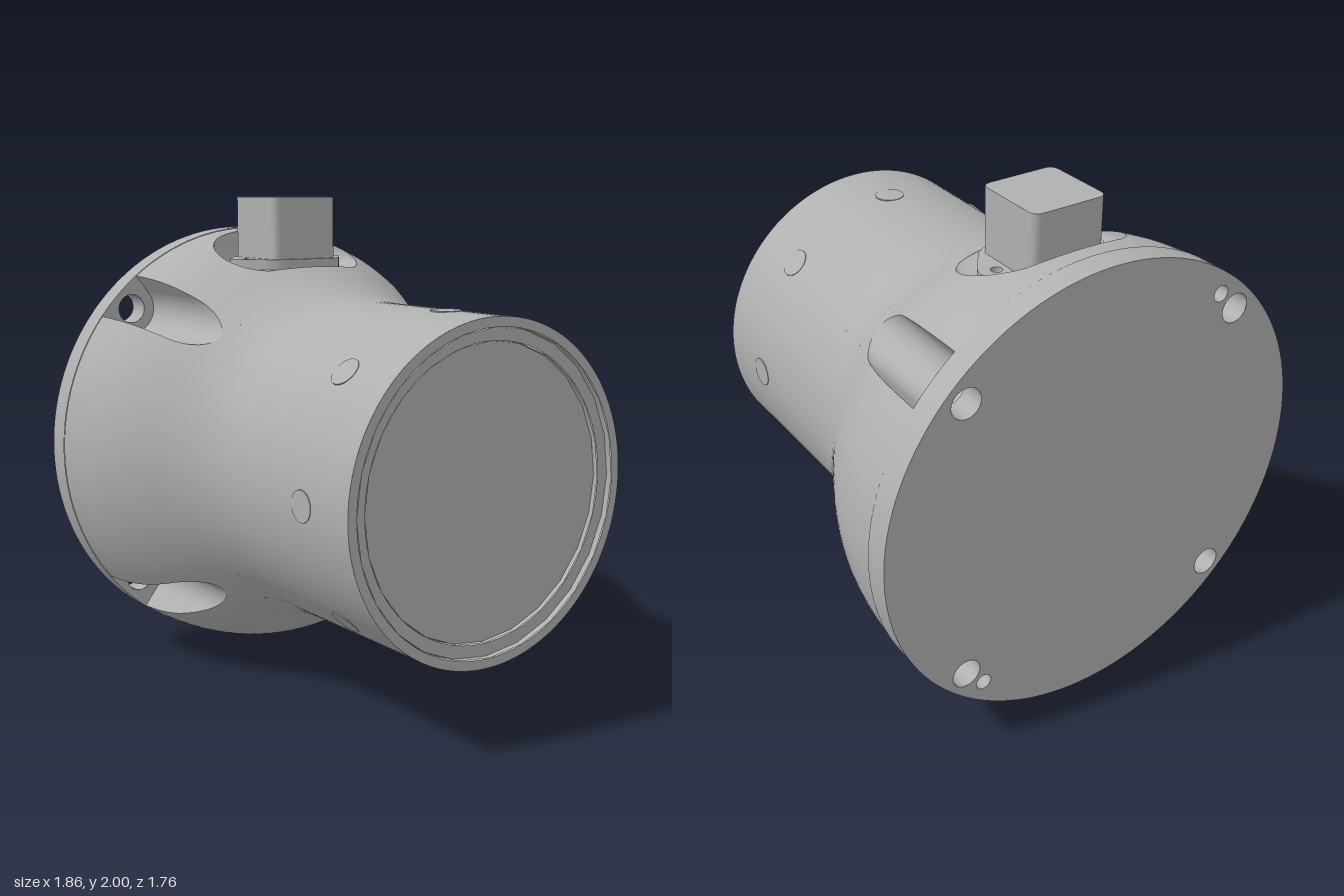
import * as THREE from 'three';

const CY = 0.935;                       // height of the body axis
const FRONT = 0.88, BACK = -0.88, SEAT = -0.775;
const RIM = 0.93, NECK = 0.655;
const BOLT = 0.841, SLOT = 0.105;       // bolt circle radius, slot radius
const PHI = Math.asin(SLOT / BOLT);     // half angle of a slot
const Q = Math.PI / 4;

// Body radius along z, sampled every 0.1 from z = 0.2 to z = -0.9
const RADII = [0.655, 0.657, 0.672, 0.704, 0.751, 0.805, 0.853, 0.889, 0.911, 0.923, 0.929, 0.93];
function bodyRadius(z) {
  const s = (0.2 - z) / 0.1;
  if (s <= 0) return NECK;
  const i = Math.min(Math.floor(s), RADII.length - 2), t = s - i;
  const at = k => RADII[Math.min(Math.max(k, 0), RADII.length - 1)];
  const [a, b, c, d] = [at(i - 1), at(i), at(i + 1), at(i + 2)];
  return b + 0.5 * t * (c - a + t * (2 * a - 5 * b + 4 * c - d + t * (3 * (b - c) + d - a)));
}

// z at which the body reaches radius r
function zAtRadius(r) {
  let lo = SEAT, hi = 0.2;
  for (let i = 0; i < 30; i++) {
    const m = (lo + hi) / 2;
    if (bodyRadius(m) > r) lo = m; else hi = m;
  }
  return lo;
}

// Point at angle a (from +y towards +x), radius r
const polar = (a, r, z) => [r * Math.sin(a), CY + r * Math.cos(a), z];
const lerp = THREE.MathUtils.lerp;

// Grid surface from f(u, v) -> [x, y, z]
function sheet(f, nu, nv) {
  const pos = [], idx = [];
  for (let i = 0; i <= nu; i++) for (let j = 0; j <= nv; j++) pos.push(...f(i / nu, j / nv));
  for (let i = 0; i < nu; i++) for (let j = 0; j < nv; j++) {
    const a = i * (nv + 1) + j, b = a + nv + 1;
    idx.push(a, a + 1, b, b, a + 1, b + 1);
  }
  const g = new THREE.BufferGeometry();
  g.setAttribute('position', new THREE.Float32BufferAttribute(pos, 3));
  g.setIndex(idx);
  g.computeVertexNormals();
  return g;
}

// Polygon with rounded corners
function roundedPoly(pts, r) {
  const s = new THREE.Shape(), n = pts.length;
  const P = pts.map(p => new THREE.Vector2(...p));
  P.forEach((p, i) => {
    const toward = q => p.clone().add(q.clone().sub(p).setLength(r));
    const a = toward(P[(i + n - 1) % n]), b = toward(P[(i + 1) % n]);
    if (i) s.lineTo(a.x, a.y); else s.moveTo(a.x, a.y);
    s.quadraticCurveTo(p.x, p.y, b.x, b.y);
  });
  s.closePath();
  return s;
}

const circleHole = (x, y, r) => new THREE.Path().absarc(x, y, r, 0, Math.PI * 2, true);

export function createModel() {
  const model = new THREE.Group();
  const grey = new THREE.MeshStandardMaterial({ color: 0xb0b0b0, side: THREE.DoubleSide });
  grey.name = 'grey';
  const add = (name, geo) => {
    const m = new THREE.Mesh(geo, grey);
    m.name = name;
    model.add(m);
    return m;
  };
  const tube = (name, x, y, r, z0, z1) =>
    add(name, new THREE.CylinderGeometry(r, r, z1 - z0, 24, 1, true).rotateX(Math.PI / 2)
      .translate(x, y, (z0 + z1) / 2));

  // Flared body panels between the slots; the top one stops short for the socket recess
  const PATCH = -0.1;
  for (let k = 0; k < 4; k++) {
    const a0 = (2 * k - 1) * Q + PHI, a1 = (2 * k + 1) * Q - PHI;
    const end = k === 0 ? PATCH : SEAT;
    add('bodyPanel', sheet((u, v) => {
      const z = lerp(FRONT, end, v);
      return polar(lerp(a0, a1, u), bodyRadius(z), z);
    }, 28, 60));
  }

  // Straight rim behind the slots
  add('mountingRim', sheet((u, v) => polar(u * Math.PI * 2, RIM, lerp(SEAT, BACK, v)), 128, 1));

  // Four bolt slots cut into the flare
  for (let k = 0; k < 4; k++) {
    const mid = (2 * k + 1) * Q;
    const ang = u => -PHI * Math.cos(u * Math.PI);
    const slotR = p => BOLT * Math.cos(p) - Math.sqrt(Math.max(0, SLOT ** 2 - (BOLT * Math.sin(p)) ** 2));
    add('bodyAboveSlot', sheet((u, v) => {
      const p = ang(u), z = lerp(FRONT, zAtRadius(slotR(p)), v);
      return polar(mid + p, bodyRadius(z), z);
    }, 20, 50));
    add('slotTrough', sheet((u, v) => {
      const p = ang(u), r = slotR(p);
      return polar(mid + p, r, lerp(zAtRadius(r), SEAT, v));
    }, 20, 4));
    for (const side of [-1, 1]) {
      const r = slotR(PHI), z0 = zAtRadius(r);
      add('slotWall', sheet((u, v) => {
        const z = lerp(z0, SEAT, u);
        return polar(mid + side * PHI, lerp(r, bodyRadius(z), v), z);
      }, 16, 1));
    }
    // Slot floor with the bolt hole
    const outline = [];
    for (let i = 0; i <= 20; i++) {
      const p = ang(i / 20), [x, y] = polar(mid + p, slotR(p), 0);
      outline.push(new THREE.Vector2(x, y));
    }
    for (let i = 8; i >= 0; i--) {
      const [x, y] = polar(mid + lerp(-PHI, PHI, i / 8), RIM, 0);
      outline.push(new THREE.Vector2(x, y));
    }
    const floor = new THREE.Shape(outline);
    const [bx, by] = polar(mid, BOLT, 0);
    floor.holes.push(circleHole(bx, by, 0.06));
    add('slotFloor', new THREE.ShapeGeometry(floor, 24).translate(0, 0, SEAT));
    tube('boltHole', bx, by, 0.06, BACK, SEAT);
  }

  // Back plate with bolt holes and two blind pin holes
  const plate = new THREE.Shape().absarc(0, CY, RIM, 0, Math.PI * 2, false);
  for (let k = 0; k < 4; k++) {
    const [x, y] = polar((2 * k + 1) * Q, BOLT, 0);
    plate.holes.push(circleHole(x, y, 0.06));
  }
  for (const s of [-1, 1]) {
    const x = s * 0.517, y = CY - s * 0.677;
    plate.holes.push(circleHole(x, y, 0.033));
    tube('pinHole', x, y, 0.033, BACK, BACK + 0.1);
    add('pinHoleEnd', new THREE.CircleGeometry(0.033, 24).rotateY(Math.PI).translate(x, y, BACK + 0.1));
  }
  add('backPlate', new THREE.ShapeGeometry(plate, 64).rotateY(Math.PI).scale(-1, 1, 1).translate(0, 0, BACK));

  // Stepped front end of the neck: flat rings joined by short walls
  const ring = (name, r0, r1, z) => add(name, new THREE.RingGeometry(r0, r1, 96).translate(0, CY, z));
  ring('frontRim', 0.617, NECK, FRONT);
  tube('frontStep', 0, CY, 0.617, 0.855, FRONT);
  ring('frontLedge', 0.565, 0.617, 0.855);
  tube('frontStep', 0, CY, 0.565, 0.835, 0.855);
  add('frontCover', new THREE.CircleGeometry(0.565, 96).translate(0, CY, 0.835));

  // Screw plugs around the neck
  for (let k = 0; k < 8; k++) {
    const plug = add('screwPlug', new THREE.CylinderGeometry(0.06, 0.06, 0.02, 24));
    plug.position.set(...polar(k * Q, 0.647, 0.6));
    plug.rotation.z = -k * Q;
  }

  // Socket recess: skin around a stadium-shaped opening, curved wall and flat floor
  const PZ = -0.475, FLOOR = 1.7, HALF = Q - PHI;
  const square = u => {
    const s = (u * 4) % 4, k = Math.floor(s), t = 2 * (s - k) - 1;
    return [[t, -1], [1, t], [-t, 1], [-1, -t]][k];
  };
  const opening = u => {
    const [sx, sy] = square(u), t = Math.atan2(sy, sx);
    return [0.225 * Math.cos(t) + 0.1 * THREE.MathUtils.clamp(Math.cos(t) * 2, -1, 1), 0.225 * Math.sin(t)];
  };
  add('bodyAroundRecess', sheet((u, v) => {
    const [sx, sy] = square(u), [ox, oz] = opening(u);
    const z = lerp((PATCH + SEAT) / 2 + sy * (PATCH - SEAT) / 2, PZ + oz, v);
    const a = lerp(sx * HALF, Math.asin(ox / bodyRadius(PZ + oz)), v);
    return polar(a, bodyRadius(z), z);
  }, 112, 16));
  const SHRINK = 0.16;
  add('recessWall', sheet((u, v) => {
    const [ox, oz] = opening(u), q = v * Math.PI / 2, k = 1 - SHRINK * (1 - Math.cos(q));
    const top = CY + Math.sqrt(bodyRadius(PZ + oz) ** 2 - ox * ox);
    return [ox * k, lerp(top, FLOOR, Math.sin(q)), PZ + oz * k];
  }, 112, 8));
  add('recessFloor', sheet((u, v) => {
    const [ox, oz] = opening(u), k = (1 - SHRINK) * (1 - v);
    return [ox * k, FLOOR, PZ + oz * k];
  }, 112, 1));

  // Connector flange with two screw holes, and the connector block
  const upright = (shape, h) => new THREE.ExtrudeGeometry(shape, { depth: h, bevelEnabled: false, curveSegments: 10 })
    .rotateX(-Math.PI / 2).translate(0, FLOOR, PZ - 0.005);
  const flange = roundedPoly([[0.285, 0], [0.155, 0.18], [-0.155, 0.18], [-0.285, 0], [-0.155, -0.18], [0.155, -0.18]], 0.06);
  flange.holes.push(circleHole(0.2, 0, 0.022), circleHole(-0.2, 0, 0.022));
  add('connectorFlange', upright(flange, 0.043));
  add('connectorBlock', upright(roundedPoly([[0.157, 0.16], [-0.157, 0.16], [-0.157, -0.16], [0.157, -0.16]], 0.04), 0.3));

  return model;
}
